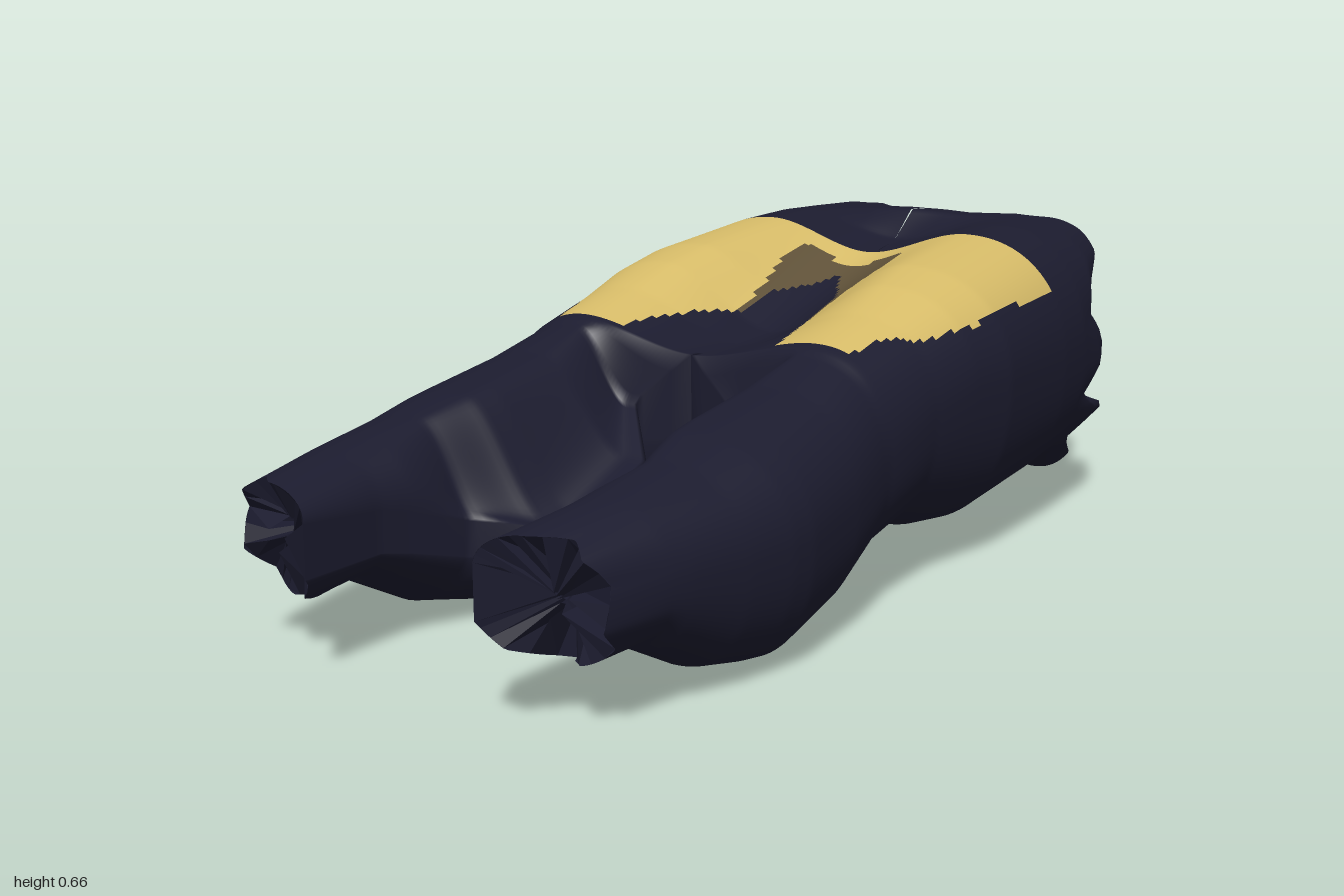
import * as THREE from 'three';

const cloth = new THREE.MeshStandardMaterial({ color: 0x1c1c2f, side: THREE.DoubleSide });
cloth.name = 'dark navy cloth';
const gold = new THREE.MeshStandardMaterial({ color: 0xd6bb68, side: THREE.DoubleSide });
gold.name = 'gold panel';
const olive = new THREE.MeshStandardMaterial({ color: 0x5f5138, side: THREE.DoubleSide });
olive.name = 'olive inset';

// Stations along z: inner x, inner upper y, inner lower y, top (x, y), outer (x, y), bottom (x, y)
const stations = [
  [-0.95, 0.004, 0.655, 0.2, 0.25, 0.64, 0.43, 0.4, 0.27, 0.05],
  [-0.84, 0.002, 0.66, 0.2, 0.25, 0.645, 0.472, 0.38, 0.27, 0.1],
  [-0.72, 0, 0.6, 0.2, 0.25, 0.65, 0.485, 0.38, 0.27, 0.115],
  [-0.58, 0, 0.585, 0.2, 0.25, 0.645, 0.497, 0.38, 0.27, 0.1],
  [-0.3, 0, 0.5, 0.22, 0.26, 0.615, 0.505, 0.39, 0.27, 0.075],
  [-0.18, 0, 0.465, 0.25, 0.27, 0.59, 0.488, 0.39, 0.27, 0.09],
  [-0.05, 0, 0.46, 0.28, 0.28, 0.55, 0.468, 0.36, 0.27, 0.125],
  [0.12, 0, 0.465, 0.295, 0.28, 0.51, 0.46, 0.3, 0.29, 0.1],
  [0.14, 0.12, 0.36, 0.28, 0.28, 0.5, 0.462, 0.29, 0.29, 0.09],
  [0.27, 0, 0.28, 0.18, 0.29, 0.463, 0.48, 0.26, 0.3, 0.035],
  [0.45, 0, 0.21, 0.15, 0.28, 0.435, 0.495, 0.24, 0.31, 0],
  [0.51, 0.01, 0.2, 0.15, 0.28, 0.425, 0.492, 0.24, 0.31, 0.01],
  [0.62, 0.15, 0.22, 0.15, 0.29, 0.4, 0.475, 0.24, 0.31, 0.035],
  [0.8, 0.19, 0.28, 0.2, 0.3, 0.375, 0.44, 0.25, 0.31, 0.13],
  [0.95, 0.19, 0.3, 0.2, 0.29, 0.355, 0.41, 0.25, 0.3, 0.12],
];
// Ragged ends: z around the section from upper seam to lower seam
const backRag = [[0, -0.86], [0.1, -0.88], [0.18, -0.97], [0.33, -0.985], [0.38, -0.97], [0.46, -0.83],
  [0.515, -0.94], [0.55, -0.8], [0.583, -1], [0.615, -0.82], [0.66, -0.92], [0.82, -0.92], [1, -0.86]];
const frontRag = [[0, 1], [0.25, 0.98], [0.32, 0.93], [0.38, 0.96], [0.46, 0.92], [0.55, 0.94],
  [0.62, 0.88], [0.72, 0.9], [0.78, 0.86], [0.88, 0.97], [1, 1]];
// Colour borders: z to x
const outerEdge = [[-0.58, 0.46], [-0.22, 0.455], [-0.08, 0.42], [0, 0.37], [0.1, 0.35]];
const wedgeEdge = [[-0.46, 0], [-0.32, 0.075], [-0.2, 0.085], [-0.1, 0.13], [0, 0.165], [0.1, 0.19]];
const insetEdge = [[-0.535, 0.1], [-0.51, 0.13], [-0.45, 0.13], [-0.3, 0.1], [-0.16, 0.085]];

// Linear interpolation in rows sorted by their first value
function look(rows, t) {
  let i = 0;
  while (i < rows.length - 2 && t > rows[i + 1][0]) i++;
  const a = rows[i], b = rows[i + 1];
  const f = THREE.MathUtils.clamp((t - a[0]) / (b[0] - a[0]), 0, 1);
  return a.slice(1).map((v, k) => v + (b[k + 1] - v) * f);
}

const N = 26, ROUND = 4 * N, ROWS = 180;
const pw = (v, e) => Math.pow(Math.max(v, 0), 2 / e);

function sectionPoint(z, k) {
  const [xi, yu, yl, xm, yt, xo, ym, xb, yb] = look(stations, z);
  const quadrant = Math.min(3, Math.floor(k / N));
  const f = (k - quadrant * N) / N, a = f * Math.PI / 2;
  const s = Math.sin(a), c = Math.cos(a);
  if (quadrant === 0) {
    // Soft S-curve over the bridge, steeper beside the knees, round at the ankle
    const rise = z < 0.13 ? THREE.MathUtils.smoothstep(f, 0, 1) : THREE.MathUtils.smoothstep(f, 0.15, 0.9);
    const round = THREE.MathUtils.smoothstep(z, 0.5, 0.75);
    const x = THREE.MathUtils.lerp(f, 1 - c, round);
    const y = THREE.MathUtils.lerp(rise, s, round);
    return [xi + (xm - xi) * x, yu + (yt - yu) * y];
  }
  if (quadrant === 1) return [xm + (xo - xm) * pw(s, 2.2), ym + (yt - ym) * pw(c, 2.2)];
  if (quadrant === 2) return [xb + (xo - xb) * pw(c, 2.3), ym + (yb - ym) * pw(s, 2.3)];
  return [xb + (xi - xb) * pw(s, 1.5), yl + (yb - yl) * pw(c, 1.5)];
}

function shellPoint(row, k) {
  const z = -0.95 + 1.9 * row / ROWS, u = k / ROUND;
  const [x, y] = sectionPoint(z, k);
  let zz = z;
  if (z < -0.7) zz = -0.7 + (z + 0.7) * (look(backRag, u)[0] + 0.7) / -0.25;
  if (z > 0.75) zz = 0.75 + (z - 0.75) * (look(frontRag, u)[0] - 0.75) / 0.2;
  return [x, y, zz];
}

// Which material covers a spot on the upper surface
function colourAt(x, z) {
  if (z < -0.58 || z > 0.1 || x > look(outerEdge, z)[0]) return 0;
  if (z > -0.46 && x < look(wedgeEdge, z)[0]) return 0;
  const start = x < 0.05 ? -0.505 : -0.53;
  if (z > start && z < -0.16 && x < look(insetEdge, z)[0]) return 2;
  return 1;
}

// One half of the garment: thigh, calf and its share of the centre bridge
function makeHalf(side) {
  const pos = [], lists = [[], [], []], W = ROUND + 1;
  for (let r = 0; r <= ROWS; r++) {
    for (let k = 0; k <= ROUND; k++) {
      const [x, y, z] = shellPoint(r, k);
      pos.push(side * x, y, z);
    }
  }
  const quad = (list, a, b, c, d) => {
    if (side > 0) list.push(a, b, c, b, d, c);
    else list.push(a, c, b, b, c, d);
  };
  for (let r = 0; r < ROWS; r++) {
    for (let k = 0; k < ROUND; k++) {
      const a = r * W + k, d = a + W + 1;
      const x = Math.abs(pos[a * 3] + pos[d * 3]) / 2;
      const z = (pos[a * 3 + 2] + pos[d * 3 + 2]) / 2;
      quad(lists[k < 2 * N ? colourAt(x, z) : 0], a, a + W, a + 1, d);
    }
    // Inner wall, in front of the bridge only
    const a = r * W;
    if (pos[a * 3 + 2] > 0.09) quad(lists[0], a + ROUND, a + ROUND + W, a, a + W);
  }
  const geo = new THREE.BufferGeometry();
  geo.setAttribute('position', new THREE.Float32BufferAttribute(pos, 3));
  geo.setIndex(lists.flat());
  let start = 0;
  lists.forEach((list, i) => {
    geo.addGroup(start, list.length, i);
    start += list.length;
  });
  geo.computeVertexNormals();
  return new THREE.Mesh(geo, [cloth, gold, olive]);
}

function triangleMesh(points) {
  const geo = new THREE.BufferGeometry();
  geo.setAttribute('position', new THREE.Float32BufferAttribute(points.flat(), 3));
  geo.computeVertexNormals();
  return new THREE.Mesh(geo, cloth);
}

// Crumpled flaps folded into the open front end
function makeFlaps(side) {
  let seed = side > 0 ? 7 : 23;
  const rnd = () => (seed = (seed * 16807) % 2147483647) / 2147483647;
  for (let i = 0; i < 5; i++) rnd();
  const points = [];
  const ring = [];
  for (let k = 0; k <= ROUND; k += 4) {
    const edge = shellPoint(ROWS, k);
    const f = 0.6 + 0.6 * rnd();
    ring.push([edge, [edge[0] + (0.305 - edge[0]) * f, edge[1] + (0.24 - edge[1]) * f, 0.8 + 0.15 * rnd()]]);
  }
  ring.forEach(([edge, tip], i) => {
    const [nextEdge, nextTip] = ring[(i + 1) % ring.length];
    points.push(edge, nextEdge, tip, nextEdge, nextTip, tip);
  });
  return triangleMesh(points.map(([x, y, z]) => [side * x, y, z]));
}

// Torn strip of lining hanging in the middle of the rear opening
function makeLining() {
  const strip = [[0, 0.6, -0.74], [0.02, 0.59, -0.6], [0.03, 0.46, -0.76], [-0.02, 0.45, -0.64],
    [-0.01, 0.32, -0.78], [0.02, 0.33, -0.66], [0, 0.2, -0.75], [0, 0.2, -0.62]];
  const points = [];
  for (let i = 0; i + 2 < strip.length; i++) points.push(strip[i], strip[i + 1], strip[i + 2]);
  return triangleMesh(points);
}

export function createModel() {
  const group = new THREE.Group();
  group.name = 'legwear';
  for (const side of [1, -1]) {
    const label = side > 0 ? 'left' : 'right';
    const half = makeHalf(side);
    half.name = label + 'Leg';
    const flaps = makeFlaps(side);
    flaps.name = label + 'AnkleFlaps';
    group.add(half, flaps);
  }
  const lining = makeLining();
  lining.name = 'tornLining';
  group.add(lining);
  return group;
}
